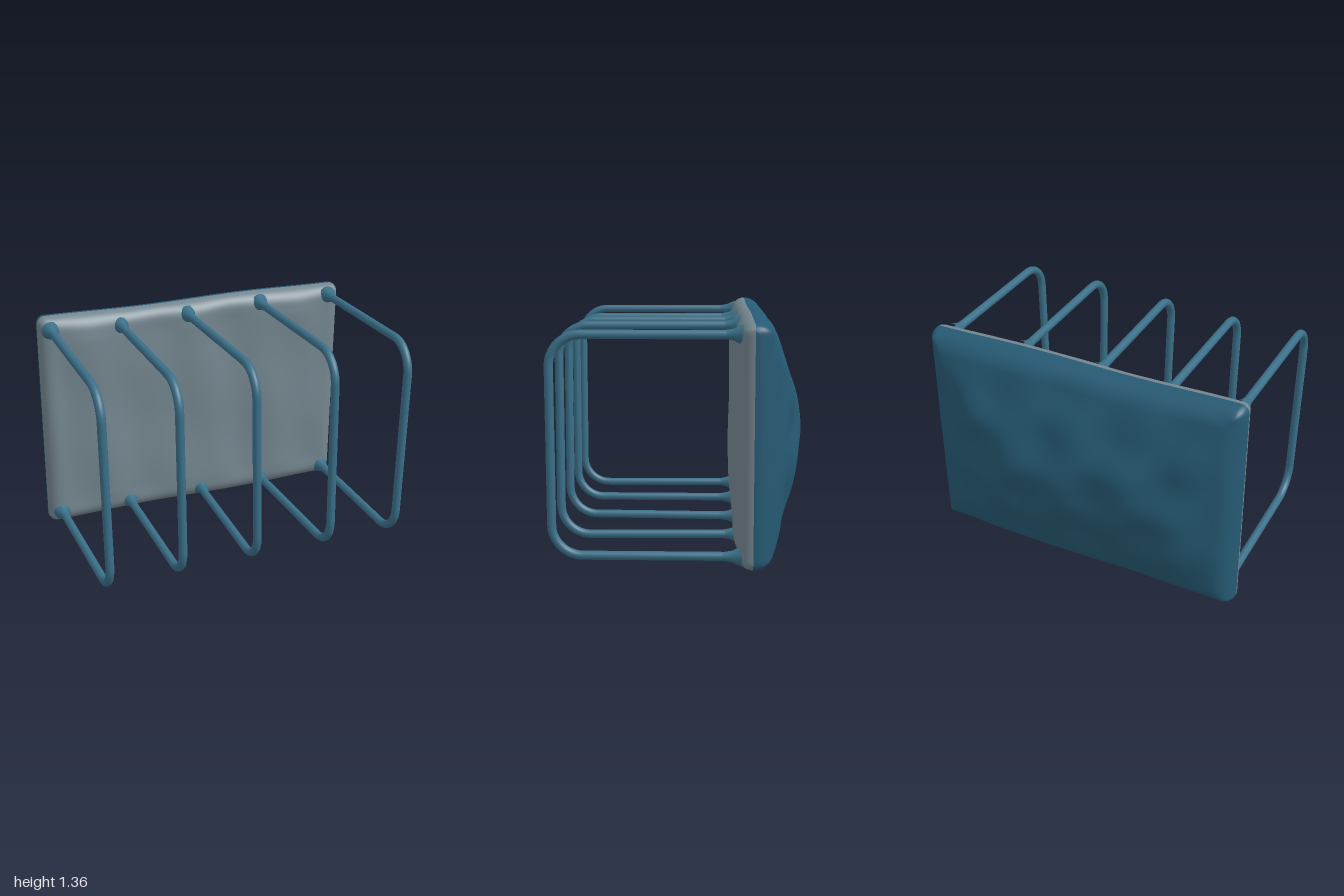
import * as THREE from 'three';
import { mergeGeometries, mergeVertices } from 'three/addons/utils/BufferGeometryUtils.js';

const HX = 0.985, HY = 0.675, CY = 0.69, MID = -0.41, CORNER = 0.05;
const { sin, cos, min, max, abs, sqrt, sign, hypot, PI } = Math;

// Quarter-round edge: 0 at the outline, 1 once d reaches r
const edge = (d, r) => (d >= r ? 1 : sqrt(max(0, 1 - (1 - d / r) ** 2)));
const softMin = (a, b, k = 0.05) => (a + b - sqrt((a - b) ** 2 + k * k)) / 2;

// Gently uneven front face, with soft vertical folds
function frontDepth(x, y, d) {
  const folds = 0.011 * cos(x * 10.5 + 0.1) + 0.006 * sin(x * 17 + y * 3) + 0.004 * sin(y * 9 + x * 4);
  return 0.085 * edge(d, 0.09) + (0.003 + folds) * min(1, d / 0.15);
}

// Hipped, lumpy bulge on the back
function backDepth(x, y, d) {
  const hip = softMin(0.38 * (HX - abs(x)), 0.36 * (HY - abs(y)));
  const bulge = max(0, softMin(hip, 0.185));
  const lumps = 0.011 * sin(x * 17 + y * 5 + 1) + 0.007 * sin(x * 9 - y * 13) + 0.005 * sin(y * 19 + x * 6);
  return 0.11 * edge(d, 0.1) + bulge + lumps * min(1, d / 0.4);
}

// One half of the slab: a grid packed towards its edges, raised by a depth rule
function slabHalf(depth, dir) {
  const g = new THREE.PlaneGeometry(2, 2, 80, 60);
  if (dir < 0) g.rotateY(PI);
  g.deleteAttribute('uv');
  g.deleteAttribute('normal');
  const p = g.attributes.position;
  for (let i = 0; i < p.count; i++) {
    let x = HX * sin(p.getX(i) * PI / 2), y = HY * sin(p.getY(i) * PI / 2);
    // Round the outline's corners
    const ox = abs(x) - (HX - CORNER), oy = abs(y) - (HY - CORNER);
    let d = CORNER - max(ox, oy);
    if (ox > 0 && oy > 0) {
      const l = hypot(ox, oy), f = min(1, CORNER / l);
      x = sign(x) * (HX - CORNER + ox * f);
      y = sign(y) * (HY - CORNER + oy * f);
      d = max(0, CORNER - l);
    }
    const z = MID + dir * depth(x, y, d);
    // Slightly wavering outline
    p.setXYZ(i, x + 0.008 * y * (x > 0 ? 1.4 : 0.4), CY + y + 0.005 * sin(x * 5) * sign(y), z);
  }
  return g;
}

// Rectangular hoop with rounded front corners, leaning between its top and bottom x
function hoopCurve({ top, bottom, rootTop, rootBottom, yTop }) {
  const yB = 0.088, zF = 0.685, zR = -0.38, r = 0.17;
  const v = (x, y, z) => new THREE.Vector3(x, y, z);
  const xAt = y => bottom + (top - bottom) * (y - yB) / (yTop - yB);
  const path = new THREE.CurvePath();
  const a = v(rootTop, yTop, zR), b = v(top, yTop, zF - r);
  const c = v(xAt(yTop - r), yTop - r, zF), d = v(xAt(yB + r), yB + r, zF);
  const e = v(bottom, yB, zF - r), f = v(rootBottom, yB, zR);
  const k = 0.55 * r;
  path.add(new THREE.LineCurve3(a, b));
  path.add(new THREE.CubicBezierCurve3(b, v(b.x, b.y, b.z + k), v(c.x, c.y + k, c.z), c));
  path.add(new THREE.LineCurve3(c, d));
  path.add(new THREE.CubicBezierCurve3(d, v(d.x, d.y - k, d.z), v(e.x, e.y, e.z + k), e));
  path.add(new THREE.LineCurve3(e, f));
  return path;
}

export function createModel() {
  const model = new THREE.Group();
  const frontMat = new THREE.MeshStandardMaterial({ color: 0x74868f });
  const backMat = new THREE.MeshStandardMaterial({ color: 0x265a74 });
  const hoopMat = new THREE.MeshStandardMaterial({ color: 0x3a6f88 });

  // Upright slab: both halves welded along the rim for smooth shading
  const halves = mergeGeometries([slabHalf(frontDepth, 1), slabHalf(backDepth, -1)], true);
  const slabGeo = mergeVertices(halves, 1e-4);
  slabGeo.computeVertexNormals();
  const slab = new THREE.Mesh(slabGeo, [frontMat, backMat]);
  slab.name = 'slab';
  model.add(slab);

  // Flared collar where a hoop meets the slab
  const collarGeo = new THREE.LatheGeometry(
    [[0.055, 0], [0.045, 0.025], [0.033, 0.05], [0.027, 0.08], [0.023, 0.11]].map(q => new THREE.Vector2(...q)), 16);
  collarGeo.rotateX(PI / 2);

  // Five hoops across the width
  const hoops = [
    { top: -0.92, bottom: -0.905, rootTop: -0.915, rootBottom: -0.91, yTop: 1.295 },
    { top: -0.487, bottom: -0.475, rootTop: -0.485, rootBottom: -0.465, yTop: 1.275 },
    { top: -0.04, bottom: -0.015, rootTop: -0.055, rootBottom: 0.02, yTop: 1.29 },
    { top: 0.44, bottom: 0.455, rootTop: 0.43, rootBottom: 0.44, yTop: 1.305 },
    { top: 0.91, bottom: 0.89, rootTop: 0.905, rootBottom: 0.9, yTop: 1.3 },
  ];
  hoops.forEach((h, i) => {
    const group = new THREE.Group();
    group.name = `hoop${i + 1}`;
    const bar = new THREE.Mesh(new THREE.TubeGeometry(hoopCurve(h), 160, 0.025, 14), hoopMat);
    bar.name = 'bar';
    group.add(bar);
    for (const [x, y] of [[h.rootTop, h.yTop], [h.rootBottom, 0.088]]) {
      const collar = new THREE.Mesh(collarGeo, hoopMat);
      collar.name = 'collar';
      collar.position.set(x, y, -0.35);
      group.add(collar);
    }
    model.add(group);
  });
  return model;
}
